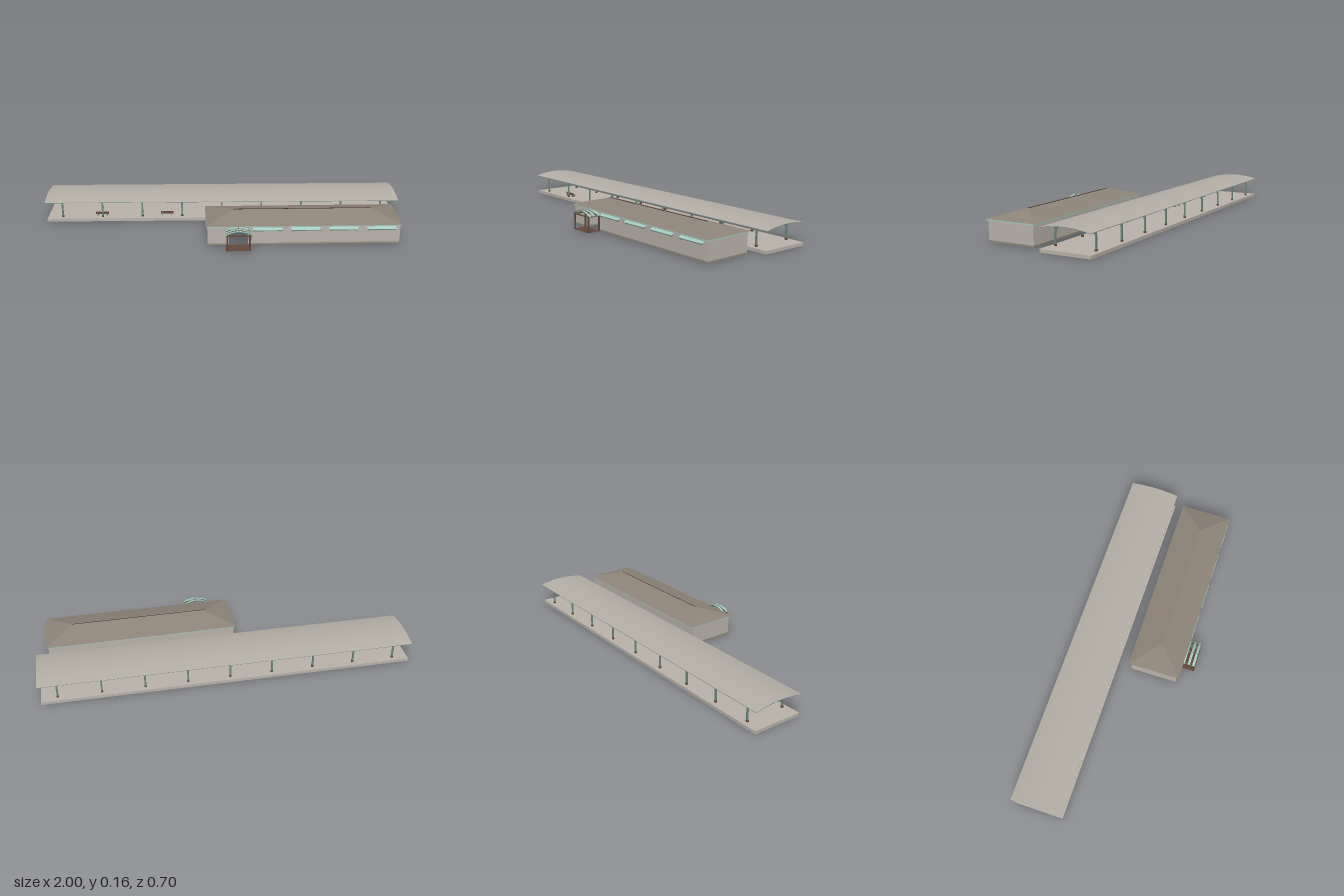
import * as THREE from 'three';

const mat = (name, color) => {
  const m = new THREE.MeshStandardMaterial({ color });
  m.name = name;
  return m;
};

export function createModel() {
  const stone = mat('stone', 0xb8b2a9), plinthGrey = mat('plinth grey', 0x8f877b);
  const roofBrown = mat('roof brown', 0x8d8378), wood = mat('wood', 0x62483c);
  const darkWood = mat('dark wood', 0x4a2f27), teal = mat('pale teal', 0xa3c9be);
  const green = mat('steel green', 0x6c8878), canopyGrey = mat('canopy grey', 0xb3aea5);
  const white = mat('clock white', 0xdcd8cc), black = mat('dark grey', 0x35383a);

  const model = new THREE.Group();
  model.name = 'railwayStation';
  const group = (name, parent = model) => {
    const g = new THREE.Group();
    g.name = name;
    parent.add(g);
    return g;
  };
  const mesh = (name, parent, geo, material) => {
    const m = new THREE.Mesh(geo, material);
    m.name = name;
    parent.add(m);
    return m;
  };
  // Box given by its extents along each axis
  const box = (name, parent, material, x0, x1, y0, y1, z0, z1) => {
    const m = mesh(name, parent, new THREE.BoxGeometry(x1 - x0, y1 - y0, z1 - z0), material);
    m.position.set((x0 + x1) / 2, (y0 + y1) / 2, (z0 + z1) / 2);
    return m;
  };
  // Curved strip: parabolic arch across the first axis, extruded along z
  const arch = (half, edgeY, topY, thick, depth, steps = 16) => {
    const top = [], bottom = [];
    for (let i = 0; i <= steps; i++) {
      const u = -1 + (2 * i) / steps, y = edgeY + (topY - edgeY) * (1 - u * u);
      top.push(new THREE.Vector2(u * half, y));
      bottom.unshift(new THREE.Vector2(u * half, y - thick));
    }
    const geo = new THREE.ExtrudeGeometry(new THREE.Shape([...top, ...bottom]), { depth, bevelEnabled: false });
    return geo.translate(0, 0, -depth / 2);
  };

  // ---- Platform with its vaulted canopy, turned very slightly ----
  const platform = group('platform');
  platform.position.z = -0.2025;
  platform.rotation.y = -0.0087;
  box('platformSlab', platform, stone, -0.993, 0.99, 0, 0.017, -0.137, 0.137);
  const skin = (name, material, edge, top, thick) =>
    mesh(name, platform, arch(0.1405, edge, top, thick, 2).rotateY(Math.PI / 2), material);
  skin('canopyRoof', canopyGrey, 0.1165, 0.1335, 0.0015);
  skin('canopyUnderside', green, 0.115, 0.132, 0.0015);

  // Curved knee bracket between column and rib
  const knee = new THREE.Shape();
  knee.moveTo(0.107, 0.085);
  knee.quadraticCurveTo(0.103, 0.112, 0.072, 0.122);
  knee.lineTo(0.072, 0.118);
  knee.quadraticCurveTo(0.099, 0.108, 0.103, 0.085);
  const kneeGeo = new THREE.ExtrudeGeometry(knee, { depth: 0.005, bevelEnabled: false }).translate(0, 0, -0.0025);

  for (let i = 0; i < 9; i++) {
    const frame = group('canopyFrame', platform);
    frame.position.x = -0.908 + i * 0.2265;
    mesh('rib', frame, arch(0.137, 0.1145, 0.1308, 0.004, 0.006).rotateY(Math.PI / 2), green);
    for (const s of [-1, 1]) {
      const c = s * 0.109;
      box('column', frame, green, -0.0045, 0.0045, 0.017, 0.119, c - 0.0035, c + 0.0035);
      box('columnBase', frame, wood, -0.006, 0.006, 0.017, 0.026, c - 0.005, c + 0.005);
      mesh('kneeBracket', frame, kneeGeo, green).rotation.y = -s * Math.PI / 2;
    }
  }
  for (const z of [-0.109, -0.05, 0.05, 0.109]) {
    const y = 0.1135 + 0.017 * (1 - (z / 0.14) ** 2);
    box('purlin', platform, green, -0.99, 0.99, y - 0.002, y, z - 0.001, z + 0.001);
  }

  // Hanging board with a clock on each face
  const board = group('clockBoard', platform);
  board.position.set(-0.54, 0, 0);
  box('boardPanel', board, wood, -0.002, 0.002, 0.083, 0.108, -0.04, 0.04);
  for (const z of [-0.03, -0.006, 0.006, 0.03])
    box('hangerRod', board, green, -0.001, 0.001, 0.108, 0.131, z - 0.001, z + 0.001);
  for (const s of [-1, 1]) {
    const disc = (name, r, x, material) => {
      const d = mesh(name, board, new THREE.CylinderGeometry(r, r, 0.001, 24), material);
      d.rotation.z = Math.PI / 2;
      d.position.set(s * x, 0.097, 0.004);
    };
    disc('clockRim', 0.009, 0.0025, black);
    disc('clockFace', 0.0077, 0.003, white);
    const hx = s * 0.0037;
    box('minuteHand', board, black, hx - 0.0003, hx + 0.0003, 0.097, 0.1035, 0.0034, 0.0046);
    box('hourHand', board, black, hx - 0.0003, hx + 0.0003, 0.0964, 0.0976, -0.0005, 0.004);
  }

  // Benches looking towards the tracks
  for (const x of [-0.685, -0.315]) {
    const bench = group('bench', platform);
    bench.position.set(x, 0, 0.094);
    for (let k = 0; k < 3; k++)
      box('seatSlat', bench, wood, -0.036, 0.036, 0.028, 0.031, -0.013 + k * 0.007, -0.008 + k * 0.007);
    for (const y of [0.032, 0.038])
      box('backSlat', bench, wood, -0.036, 0.036, y, y + 0.005, 0.003, 0.007);
    for (const s of [-0.026, 0.026]) {
      box('benchLeg', bench, green, s - 0.002, s + 0.002, 0.017, 0.028, -0.01, 0.004);
      box('backPost', bench, green, s - 0.002, s + 0.002, 0.017, 0.042, 0.007, 0.009);
    }
  }

  // ---- Station building with an entrance recess ----
  const building = group('stationBuilding');
  const slab = (name, material, grow, y0, y1) => {
    const x0 = -0.087 - grow, x1 = 0.935 + grow, back = -0.012 + grow, front = -0.272 - grow;
    const s = new THREE.Shape([
      [x0, back], [x0, front], [0.022, front], [0.022, -0.034],
      [0.128, -0.034], [0.128, front], [x1, front], [x1, back],
    ].map(([x, y]) => new THREE.Vector2(x, y)));
    const geo = new THREE.ExtrudeGeometry(s, { depth: y1 - y0, bevelEnabled: false });
    mesh(name, building, geo.rotateX(-Math.PI / 2).translate(0, y0, 0), material);
  };
  slab('plinth', plinthGrey, 0.001, 0.004, 0.013);
  slab('walls', stone, 0, 0.013, 0.09);
  box('upperWall', building, stone, -0.087, 0.935, 0.09, 0.11, 0.012, 0.272);
  box('entranceDoor', building, wood, 0.022, 0.128, 0.004, 0.09, 0.034, 0.038);
  box('fascia', building, teal, -0.092, 0.94, 0.108, 0.115, 0.004, 0.281);

  // Hipped roof: four slopes and a closed soffit
  const A = [-0.098, 0.115, 0.287], B = [0.945, 0.115, 0.287], C = [0.945, 0.115, -0.001], D = [-0.098, 0.115, -0.001];
  const E = [0.055, 0.156, 0.143], F = [0.797, 0.156, 0.143];
  const tris = [A, B, F, A, F, E, B, C, F, C, D, E, C, E, F, D, A, E, A, D, C, A, C, B];
  const roofGeo = new THREE.BufferGeometry();
  roofGeo.setAttribute('position', new THREE.Float32BufferAttribute(tris.flat(), 3));
  roofGeo.computeVertexNormals();
  mesh('hippedRoof', building, roofGeo, roofBrown);
  // Ridge cap with a roof-coloured top
  box('ridgeCap', building, darkWood, 0.055, 0.797, 0.154, 0.1585, 0.1405, 0.1455);
  box('ridgeCapTop', building, roofBrown, 0.055, 0.797, 0.1585, 0.159, 0.1405, 0.1455);

  // Sloping awnings along the front wall
  for (let i = 0; i < 4; i++) {
    const x0 = 0.152 + i * 0.2015, x1 = x0 + 0.155;
    const awning = group('awning', building);
    const panel = box('awningPanel', awning, teal, x0, x1, 0.0963, 0.0978, 0.2695, 0.2915);
    panel.rotation.x = 0.5;
    box('awningEdge', awning, green, x0, x1, 0.0895, 0.0935, 0.2885, 0.2905);
    for (const x of [x0 + 0.012, x1 - 0.012])
      box('awningBracket', awning, green, x - 0.0015, x + 0.0015, 0.083, 0.091, 0.272, 0.284);
  }

  // ---- Timber entrance porch with vaulted strips ----
  const porch = group('entrancePorch');
  box('porchFloor', porch, wood, 0.008, 0.138, 0.004, 0.0052, 0.272, 0.35);
  for (const x of [0.015, 0.135]) {
    for (const z of [0.278, 0.3455])
      box('porchPost', porch, wood, x - 0.0035, x + 0.0035, 0.004, 0.087, z - 0.0035, z + 0.0035);
    box('sideBeam', porch, wood, x - 0.004, x + 0.004, 0.085, 0.09, 0.272, 0.35);
  }
  for (const z of [0.278, 0.3455])
    box('crossBeam', porch, wood, 0.012, 0.138, 0.085, 0.09, z - 0.003, z + 0.003);
  for (const [z, w] of [[0.341, 0.013], [0.3155, 0.013], [0.283, 0.02]])
    mesh('vaultStrip', porch, arch(0.069, 0.092, 0.112, 0.0015, w), teal).position.set(0.075, 0, z);
  for (const z of [0.3485, 0.309, 0.274])
    mesh('vaultRib', porch, arch(0.07, 0.092, 0.113, 0.004, 0.002), green).position.set(0.075, 0, z);
  for (const [x, y] of [[0.008, 0.09], [0.075, 0.111], [0.142, 0.09]])
    box('vaultRail', porch, green, x - 0.002, x + 0.002, y - 0.002, y + 0.001, 0.273, 0.349);
  return model;
}
